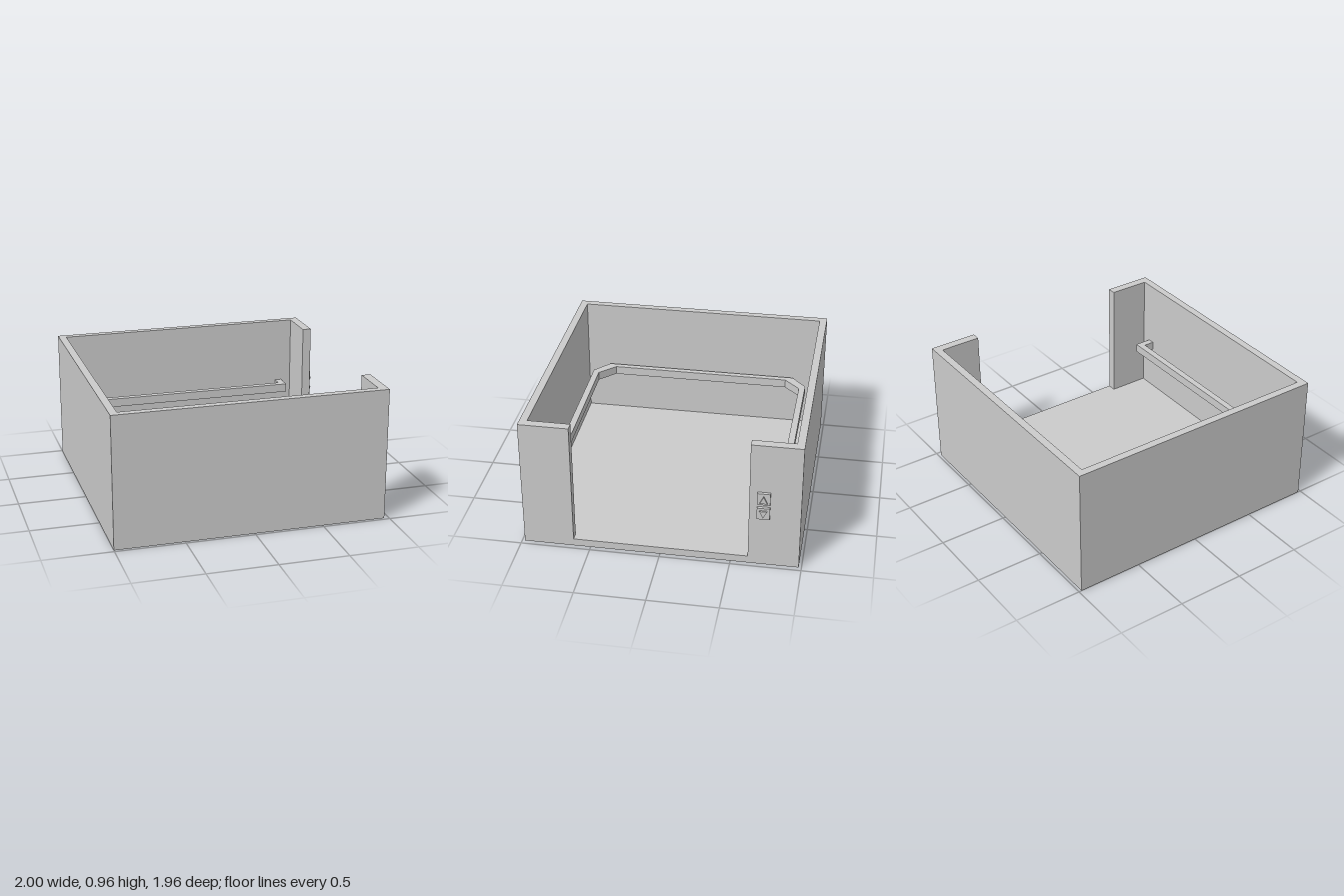
import * as THREE from 'three';

const material = new THREE.MeshStandardMaterial({
  color: 0xcccccc, flatShading: true, side: THREE.DoubleSide,
});

const TOP = 0.965, FLOOR = 0.055, SIDE = 0.965, DOOR = 0.622;

function add(parent, name, geometry) {
  const mesh = new THREE.Mesh(geometry, material);
  mesh.name = name;
  parent.add(mesh);
  return mesh;
}

// Shape from [x, z] plan points
const planShape = (points) => new THREE.Shape(points.map(([x, z]) => new THREE.Vector2(x, -z)));

// Flat horizontal sheet facing up
function sheet(points, y) {
  return new THREE.ShapeGeometry(planShape(points)).rotateX(-Math.PI / 2).translate(0, y, 0);
}

// Upright faces along a plan path, from y0 to y1
function uprightFaces(points, y0, y1) {
  const positions = [];
  for (let i = 0; i < points.length - 1; i++) {
    const [ax, az] = points[i], [bx, bz] = points[i + 1];
    positions.push(ax, y0, az, bx, y0, bz, bx, y1, bz);
    positions.push(ax, y0, az, bx, y1, bz, ax, y1, az);
  }
  const geometry = new THREE.BufferGeometry();
  geometry.setAttribute('position', new THREE.Float32BufferAttribute(positions, 3));
  geometry.computeVertexNormals();
  return geometry;
}

// Half path mirrored in z, continuing to the other side
const mirrorPath = (half) => [...half, ...half.slice().reverse().map(([x, z]) => [x, -z])];

export function createModel() {
  const model = new THREE.Group();
  model.name = 'liftCar';

  // Hollow walls, open underneath
  const outer = mirrorPath([[SIDE, -DOOR], [SIDE, -0.98], [-1, -0.98]]);
  const inner = mirrorPath([[SIDE, DOOR], [0.9, DOOR], [0.9, 0.925], [-0.945, 0.925]]);
  const walls = new THREE.Group();
  walls.name = 'walls';
  model.add(walls);
  add(walls, 'outerWalls', uprightFaces(outer, 0, TOP));
  add(walls, 'innerWalls', uprightFaces(inner, FLOOR, TOP));
  add(walls, 'wallTop', sheet([...outer, ...inner.slice(1, -1)], TOP));

  // Floor runs out through the doorway to the sill
  add(model, 'floor', sheet(inner, FLOOR));
  add(model, 'doorSill', uprightFaces([[SIDE, DOOR], [SIDE, -DOOR]], 0, FLOOR));

  // Handrail with cut corners and ends turned into the walls
  const railOuter = mirrorPath([[0.775, 0.925], [0.775, 0.845], [-0.778, 0.85], [-0.905, 0.74]]);
  const railInner = mirrorPath([[0.825, 0.925], [0.825, 0.795], [-0.74, 0.803], [-0.86, 0.685]]);
  const rail = new THREE.ExtrudeGeometry(planShape([...railOuter, ...railInner.reverse()]), {
    depth: 0.065, bevelEnabled: false,
  });
  add(model, 'handrail', rail.rotateX(-Math.PI / 2).translate(0, 0.4, 0));

  // Call buttons: a square plate with a raised triangle
  for (const [name, y, dir] of [['upButton', 0.553, 1], ['downButton', 0.435, -1]]) {
    const button = new THREE.Group();
    button.name = name;
    button.position.set(SIDE, y, -0.722);
    add(button, 'buttonPlate', new THREE.BoxGeometry(0.022, 0.09, 0.09).translate(0.011, 0, 0));
    const triangle = new THREE.Shape([
      new THREE.Vector2(-0.027, -0.027 * dir),
      new THREE.Vector2(0.027, -0.027 * dir),
      new THREE.Vector2(0, 0.027 * dir),
    ]);
    const arrow = new THREE.ExtrudeGeometry(triangle, { depth: 0.035, bevelEnabled: false });
    add(button, 'buttonArrow', arrow.rotateY(Math.PI / 2));
    model.add(button);
  }

  return model;
}
